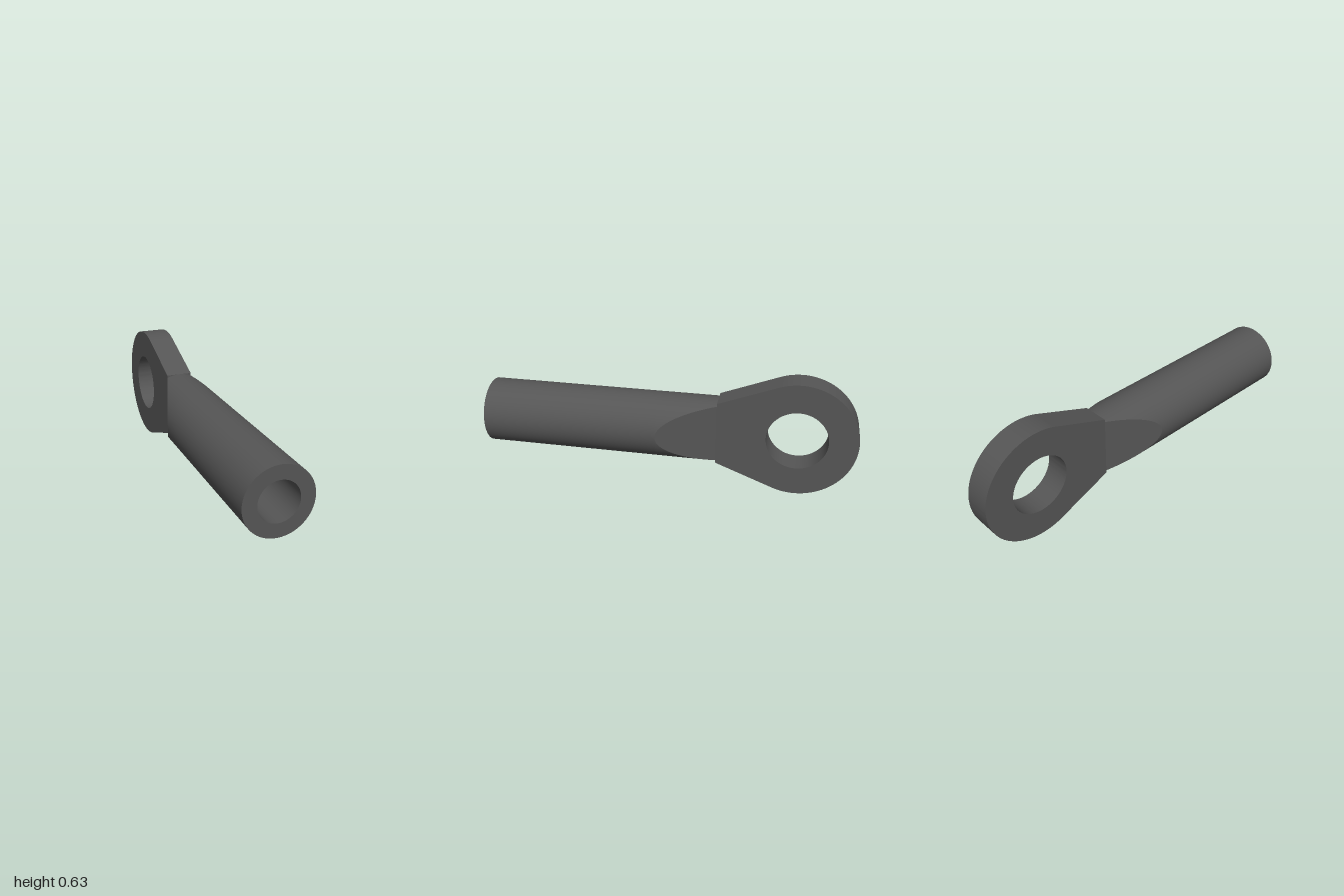
import * as THREE from 'three';
import { toCreasedNormals } from 'three/addons/utils/BufferGeometryUtils.js';
import { ParametricGeometry } from 'three/addons/geometries/ParametricGeometry.js';

const R = 0.175;           // shank radius
const BORE = 0.103;        // bore radius
const HALF = 0.07;         // half thickness of the eye plate
const Z_TAPER = 0.05;      // where the flats begin
const Z_NECK = -0.26;      // where the shank meets the plate
const EYE_Z = -0.684, EYE_R = 0.316, HOLE_R = 0.162;

export function createModel() {
  const group = new THREE.Group();
  group.name = 'rodEnd';
  group.position.y = EYE_R;
  const material = new THREE.MeshStandardMaterial({ color: 0x555555 });
  const add = (name, geometry) => {
    const mesh = new THREE.Mesh(geometry, material);
    mesh.name = name;
    group.add(mesh);
    return mesh;
  };

  // Round shank with a blind bore in its front end
  const profile = [[R, Z_TAPER], [R, 1], [BORE, 1], [BORE, 0.15], [0, 0.15]]
    .map(([r, y]) => new THREE.Vector2(r, y));
  const shank = new THREE.LatheGeometry(profile, 64).rotateX(Math.PI / 2);
  add('shank', toCreasedNormals(shank, 0.6));

  // Neck: the same cylinder cut by two sloping flats. Each section has half
  // width R * sin(a), with a running from a right angle down to the plate.
  const endAngle = Math.asin(HALF / R);
  const section = (v) => {
    const a = THREE.MathUtils.lerp(Math.PI / 2, endAngle, v);
    const x = R * Math.sin(a);
    const z = THREE.MathUtils.mapLinear(x, R, HALF, Z_TAPER, Z_NECK);
    return { a, x, y: R * Math.cos(a), z };
  };
  const arc = new ParametricGeometry((u, v, p) => {
    const s = section(v);
    const phi = (2 * u - 1) * s.a;
    p.set(R * Math.sin(phi), R * Math.cos(phi), s.z);
  }, 32, 24);
  // Radial normals keep the neck continuous with the shank
  const pos = arc.attributes.position;
  for (let i = 0; i < pos.count; i++) {
    arc.attributes.normal.setXYZ(i, pos.getX(i) / R, pos.getY(i) / R, 0);
  }
  const flat = new ParametricGeometry((u, v, p) => {
    const s = section(v);
    p.set(s.x, (1 - 2 * u) * s.y, s.z);
  }, 4, 24);
  const slope = new THREE.Vector3(Z_TAPER - Z_NECK, 0, HALF - R).normalize();
  for (let i = 0; i < flat.attributes.normal.count; i++) {
    flat.attributes.normal.setXYZ(i, slope.x, slope.y, slope.z);
  }
  for (const [side, turn] of [['Upper', 0], ['Lower', Math.PI]]) {
    add('neck' + side, arc).rotation.z = turn;
  }
  for (const [side, turn] of [['Left', 0], ['Right', Math.PI]]) {
    add('flat' + side, flat).rotation.z = turn;
  }

  // Eye plate: a ring with straight sides tangent to it, drawn with x as -z
  const cx = -EYE_Z, nx = -Z_NECK;
  const reach = Math.hypot(cx - nx, R);
  const tangent = Math.PI - Math.atan2(R, cx - nx) - Math.acos(EYE_R / reach);
  const outline = new THREE.Shape();
  outline.moveTo(nx, R);
  outline.lineTo(nx, -R);
  outline.absarc(cx, 0, EYE_R, -tangent, tangent, false);
  outline.closePath();
  const hole = new THREE.Path();
  hole.absarc(cx, 0, HOLE_R, 0, Math.PI * 2, true);
  outline.holes.push(hole);
  const eye = new THREE.ExtrudeGeometry(outline, {
    depth: 2 * HALF, bevelEnabled: false, curveSegments: 64,
  });
  eye.translate(0, 0, -HALF).rotateY(Math.PI / 2);
  add('eyePlate', toCreasedNormals(eye, 0.3));

  return group;
}
